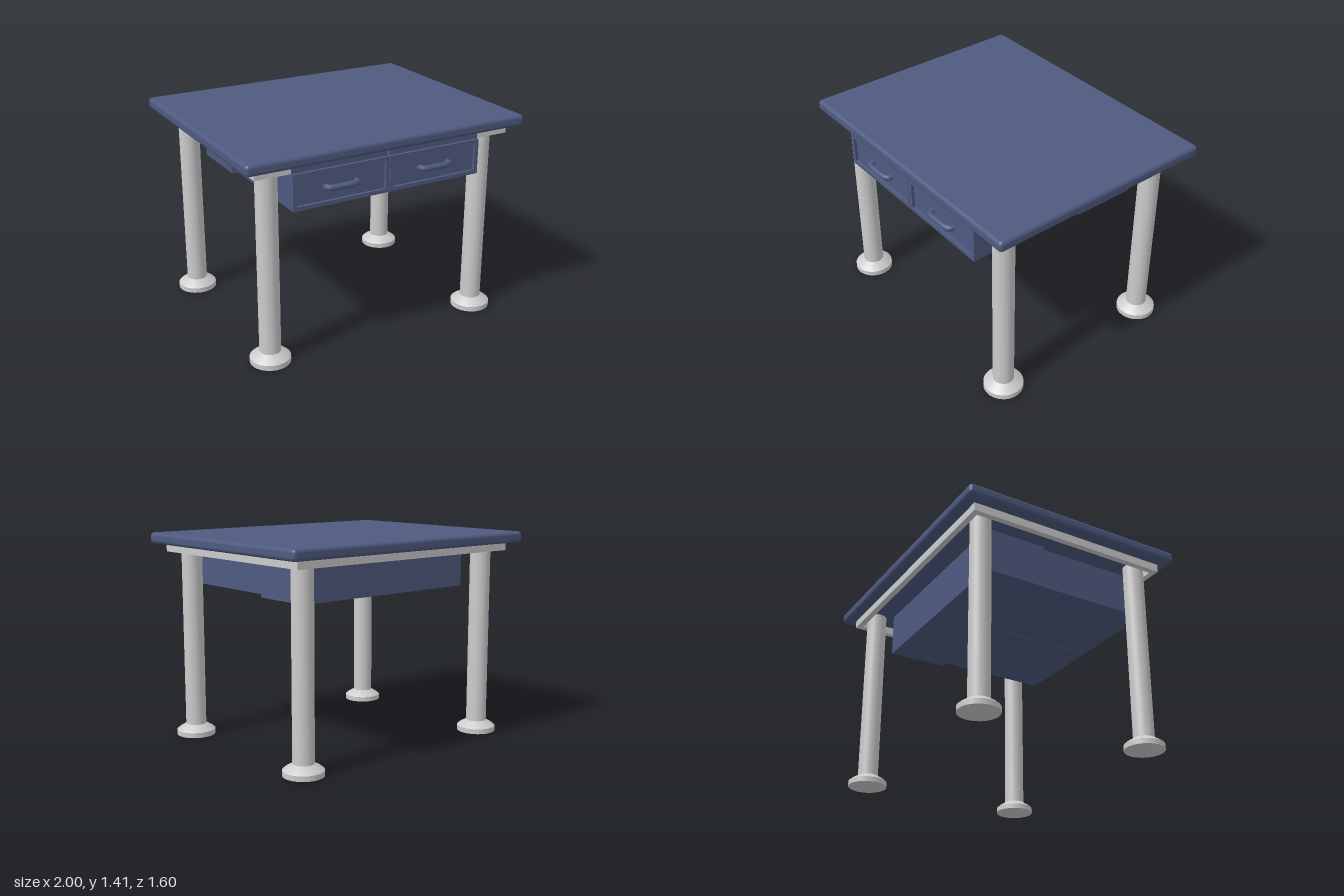
import * as THREE from 'three';
import { RoundedBoxGeometry } from 'three/addons/geometries/RoundedBoxGeometry.js';
import { toCreasedNormals } from 'three/addons/utils/BufferGeometryUtils.js';

const grey = new THREE.MeshStandardMaterial({ color: 0xcccccc });
const navy = new THREE.MeshStandardMaterial({ color: 0x4f5a80 });

function add(parent, name, geometry, material, x = 0, y = 0, z = 0) {
  const mesh = new THREE.Mesh(geometry, material);
  mesh.name = name;
  mesh.position.set(x, y, z);
  parent.add(mesh);
  return mesh;
}

function rectangle(Type, w, h) {
  return new Type([
    new THREE.Vector2(-w / 2, -h / 2), new THREE.Vector2(w / 2, -h / 2),
    new THREE.Vector2(w / 2, h / 2), new THREE.Vector2(-w / 2, h / 2),
  ]);
}

// Rectangular ring, extruded along +z
function ring(w, h, border, depth) {
  const shape = rectangle(THREE.Shape, w, h);
  shape.holes.push(rectangle(THREE.Path, w - 2 * border, h - 2 * border));
  return new THREE.ExtrudeGeometry(shape, { depth, bevelEnabled: false });
}

// Round leg with a flared foot, turned as one piece
function legGeometry() {
  const profile = [[0, 0], [0.133, 0], [0.133, 0.035], [0.115, 0.05], [0.07, 0.077], [0.07, 1.34], [0, 1.34]]
    .map(([r, y]) => new THREE.Vector2(r, y));
  return toCreasedNormals(new THREE.LatheGeometry(profile, 32), 0.6);
}

// Bowed pull whose two ends meet the drawer panel
function handleGeometry() {
  const path = new THREE.CatmullRomCurve3([
    new THREE.Vector3(-0.108, 0, 0), new THREE.Vector3(-0.1, 0, 0.032),
    new THREE.Vector3(0, 0, 0.044),
    new THREE.Vector3(0.1, 0, 0.032), new THREE.Vector3(0.108, 0, 0),
  ]);
  return new THREE.TubeGeometry(path, 24, 0.02, 10);
}

function createDrawer(name, x) {
  const drawer = new THREE.Group();
  drawer.name = name;
  drawer.position.set(x, 0, 0);
  const w = 0.675;
  add(drawer, 'drawerBody', new THREE.BoxGeometry(w, 0.29, 0.785), navy, 0, 1.195, 0.3325);
  add(drawer, 'drawerRim', ring(w, 0.235, 0.026, 0.02), navy, 0, 1.1675, 0.725);
  add(drawer, 'drawerHandle', handleGeometry(), navy, 0, 1.164, 0.722);
  return drawer;
}

export function createModel() {
  const table = new THREE.Group();
  table.name = 'table';

  // Top and the frame under it
  add(table, 'tableTop', new RoundedBoxGeometry(2, 0.075, 1.6, 4, 0.025), navy, 0, 1.3775, 0);
  const apron = add(table, 'apron', ring(1.83, 1.444, 0.04, 0.06), grey, 0, 1.285, 0);
  apron.rotation.x = -Math.PI / 2;

  // Four legs
  const leg = legGeometry();
  for (const [side, x] of [['Left', 0.787], ['Right', -0.787]]) {
    add(table, `front${side}Leg`, leg, grey, x, 0, 0.608);
    add(table, `back${side}Leg`, leg, grey, x, 0, -0.606);
  }

  // Drawers in front, storage box behind
  table.add(createDrawer('leftDrawer', 0.34), createDrawer('rightDrawer', -0.34));
  add(table, 'rearBox', new THREE.BoxGeometry(1.41, 0.305, 0.43), navy, 0, 1.1875, -0.29);

  return table;
}
